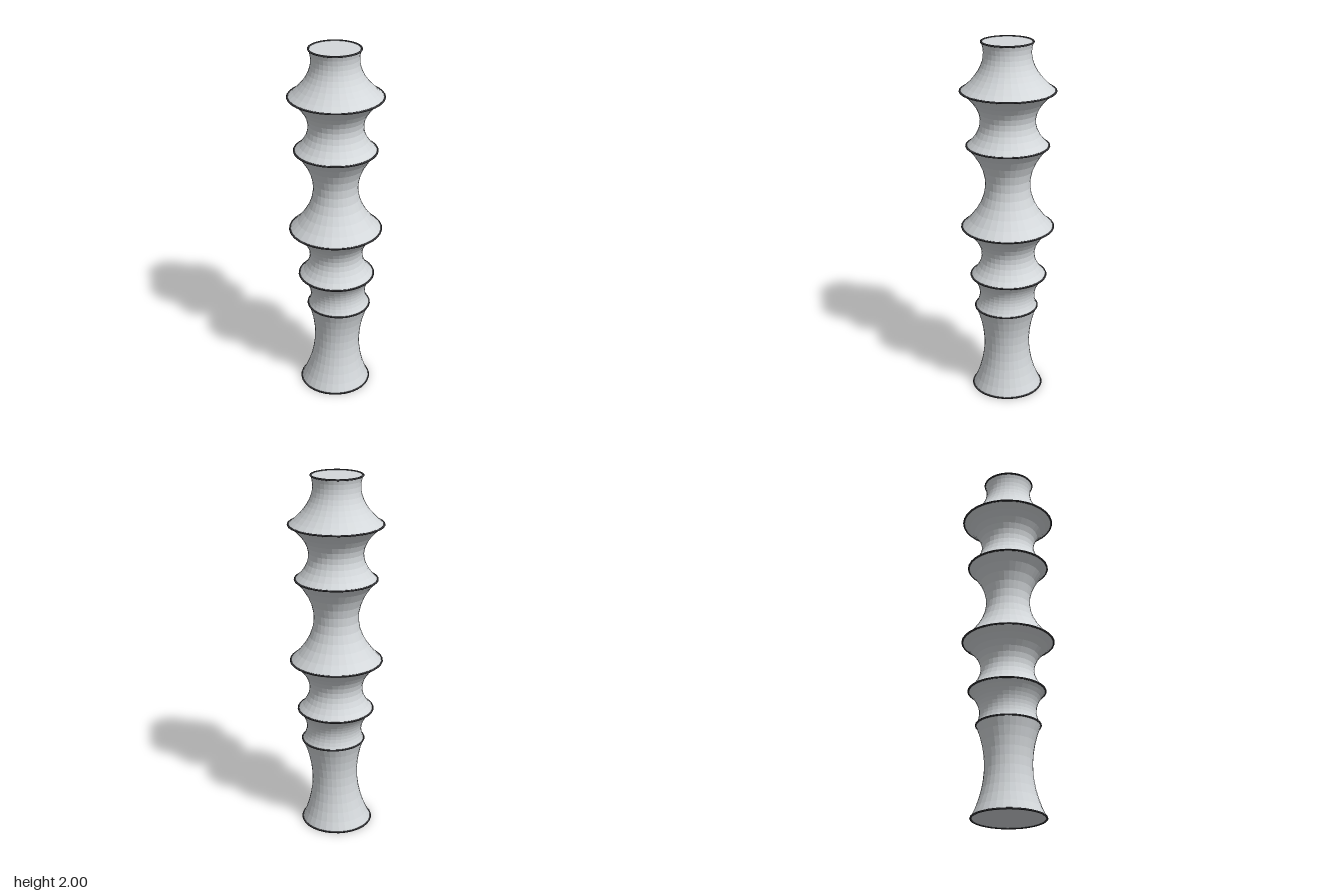
import * as THREE from 'three';

const SIDES = 32;
const ROWS = 10;
const TUBE = 0.005;

// Rims from bottom to top: height, radius, and the slight drift of the axis
const rims = [
  { y: 0.005, r: 0.195, x: -0.007, z: 0 },
  { y: 0.51, r: 0.172, x: 0.005, z: 0.016 },
  { y: 0.697, r: 0.207, x: 0.004, z: 0 },
  { y: 0.982, r: 0.25, x: -0.003, z: 0 },
  { y: 1.442, r: 0.221, x: -0.002, z: 0 },
  { y: 1.74, r: 0.252, x: 0, z: 0 },
  { y: 1.995, r: 0.136, x: -0.007, z: -0.001 },
];
// Radius halfway up each waisted section
const waists = [0.128, 0.155, 0.147, 0.122, 0.148, 0.143];

export function createModel() {
  const group = new THREE.Group();
  const shell = new THREE.MeshStandardMaterial({ color: 0xd4d8db, flatShading: true });
  shell.name = 'pale grey';
  const dark = new THREE.MeshStandardMaterial({ color: 0x3c3c40 });
  dark.name = 'dark grey';

  const add = (name, geometry, material) => {
    const mesh = new THREE.Mesh(geometry, material);
    mesh.name = name;
    group.add(mesh);
    return mesh;
  };

  // Waisted sections, each a curve turned around the axis and sheared between its rims
  waists.forEach((waist, i) => {
    const a = rims[i], b = rims[i + 1];
    const control = 2 * waist - (a.r + b.r) / 2;
    const profile = new THREE.QuadraticBezierCurve(
      new THREE.Vector2(a.r, a.y),
      new THREE.Vector2(control, (a.y + b.y) / 2),
      new THREE.Vector2(b.r, b.y),
    ).getPoints(ROWS);
    const geometry = new THREE.LatheGeometry(profile, SIDES);
    const pos = geometry.attributes.position;
    for (let k = 0; k < pos.count; k++) {
      const t = (pos.getY(k) - a.y) / (b.y - a.y);
      pos.setX(k, pos.getX(k) + THREE.MathUtils.lerp(a.x, b.x, t));
      pos.setZ(k, pos.getZ(k) + THREE.MathUtils.lerp(a.z, b.z, t));
    }
    geometry.computeVertexNormals();
    add(`section${i + 1}`, geometry, shell);
  });

  // Dark rings along the rims
  rims.forEach((rim, i) => {
    const ring = add(`rim${i + 1}`, new THREE.TorusGeometry(rim.r, TUBE, 8, SIDES), dark);
    ring.rotation.x = Math.PI / 2;
    ring.position.set(rim.x, rim.y, rim.z);
  });

  // Flat end caps
  const cap = (name, rim, turn) => {
    const disc = add(name, new THREE.CircleGeometry(rim.r, SIDES), shell);
    disc.rotation.x = turn;
    disc.position.set(rim.x, rim.y, rim.z);
  };
  cap('bottomCap', rims[0], Math.PI / 2);
  cap('topCap', rims[rims.length - 1], -Math.PI / 2);

  return group;
}
